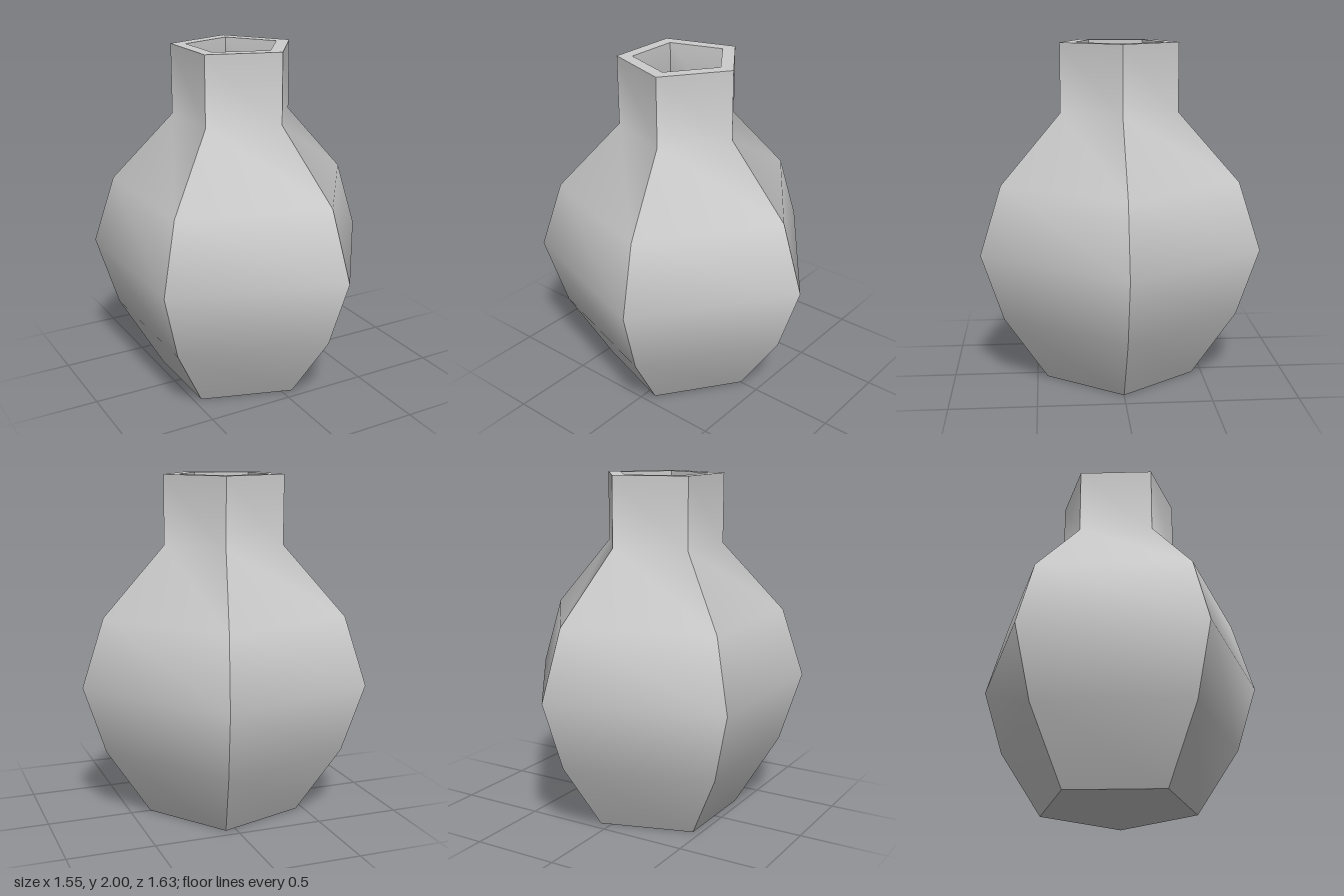
import * as THREE from 'three';
import { toCreasedNormals } from 'three/addons/utils/BufferGeometryUtils.js';

const SIDES = 5;

// Five-sided lathe: smooth up each side, sharp along the ridges
function facetedLathe(profile) {
  const points = profile.map(([r, y]) => new THREE.Vector2(r, y));
  const geometry = new THREE.LatheGeometry(points, SIDES, Math.PI / 2);
  return toCreasedNormals(geometry, THREE.MathUtils.degToRad(45));
}

export function createModel() {
  const clay = new THREE.MeshStandardMaterial({ color: 0xcccccc });
  clay.name = 'grey clay';

  const vase = new THREE.Group();
  vase.name = 'vase';
  const addPart = (name, profile) => {
    const mesh = new THREE.Mesh(facetedLathe(profile), clay);
    mesh.name = name;
    vase.add(mesh);
  };

  // Closed base, belly, shoulder and straight neck
  addPart('outerBody', [
    [0, 0], [0.463, 0], [0.726, 0.4], [0.857, 0.8], [0.726, 1.2], [0.36, 1.6], [0.36, 2],
  ]);

  // Flat ring around the mouth
  addPart('rim', [[0.36, 2], [0.273, 2]]);

  // Hollow inside, following the outer wall down to a flat floor
  addPart('innerWall', [
    [0.273, 2], [0.273, 1.6], [0.639, 1.2], [0.77, 0.8], [0.639, 0.4], [0.43, 0.08], [0, 0.08],
  ]);

  // A pentagon reaches further on its pointed side, so shift it to centre its bounds
  vase.position.x = -0.082;

  const model = new THREE.Group();
  model.name = 'pentagonalVase';
  model.add(vase);
  return model;
}
